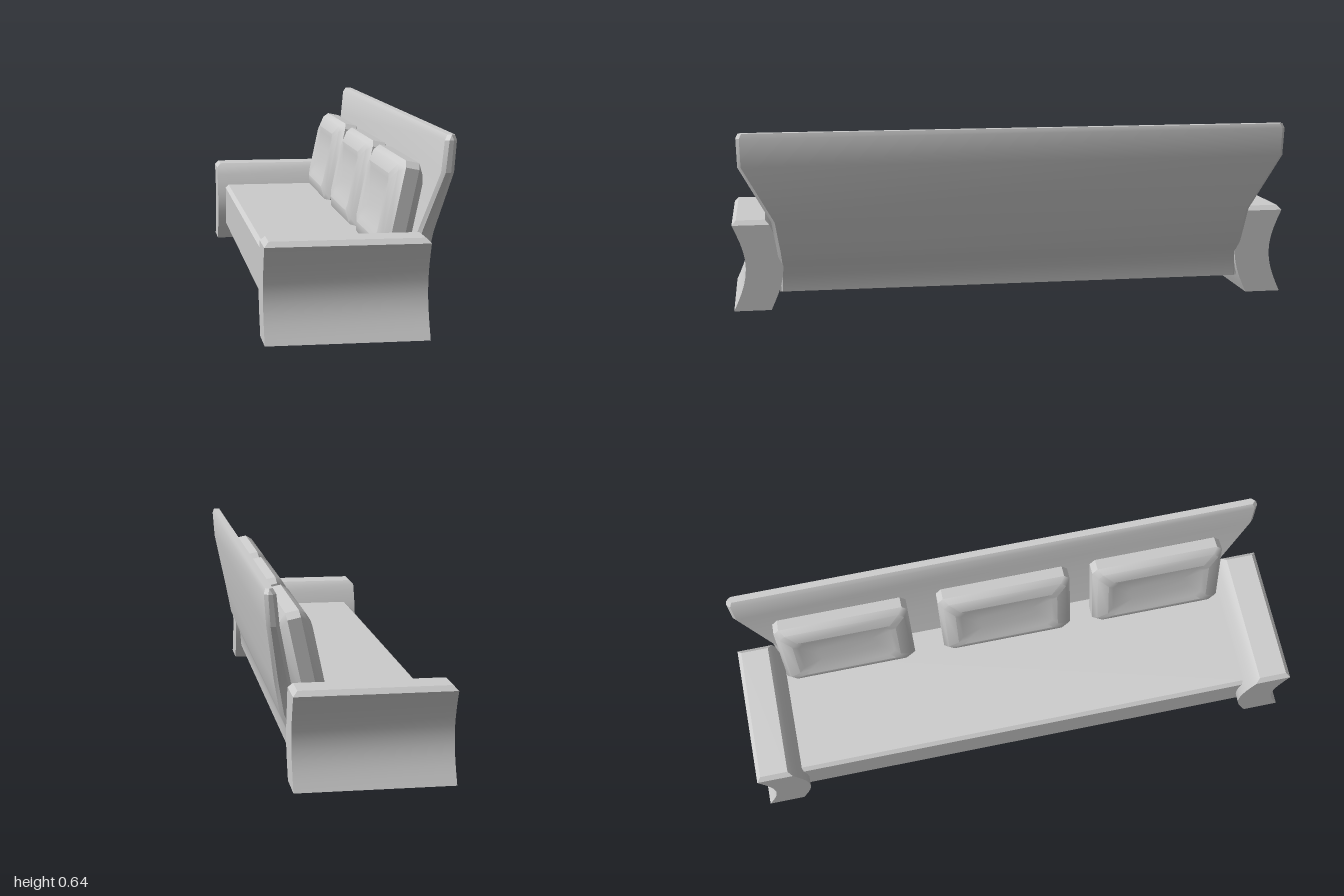
import * as THREE from 'three';
import { toCreasedNormals } from 'three/addons/utils/BufferGeometryUtils.js';

// Skin stacked rings (counter-clockwise seen from the end of the stack) and cap both ends
function loft(rings, crease = 0.45) {
  const n = rings[0].length, idx = [];
  for (let r = 0; r < rings.length - 1; r++) {
    for (let i = 0; i < n; i++) {
      const j = (i + 1) % n, a = r * n, b = a + n;
      idx.push(a + i, a + j, b + j, a + i, b + j, b + i);
    }
  }
  const top = (rings.length - 1) * n;
  for (let i = 1; i < n - 1; i++) {
    idx.push(0, i + 1, i, top, top + i, top + i + 1);
  }
  const g = new THREE.BufferGeometry();
  g.setAttribute('position', new THREE.Float32BufferAttribute(rings.flat(2), 3));
  g.setIndex(idx);
  return toCreasedNormals(g.toNonIndexed(), crease);
}

// Horizontal rectangle at height y
const rect = (y, x0, x1, z0, z1) => [[x0, y, z1], [x1, y, z1], [x1, y, z0], [x0, y, z0]];

export function createModel() {
  const group = new THREE.Group();
  const fabric = new THREE.MeshStandardMaterial({ color: 0xcccccc });
  fabric.name = 'light grey fabric';
  const add = (name, geo) => {
    const m = new THREE.Mesh(geo, fabric);
    m.name = name;
    group.add(m);
    return m;
  };

  // Seat slab with slim bevels at the front
  add('seat', loft([
    rect(0.06, -0.258, 0.19, -0.84, 0.84),
    rect(0.07, -0.268, 0.19, -0.84, 0.84),
    rect(0.222, -0.268, 0.19, -0.84, 0.84),
    rect(0.235, -0.255, 0.19, -0.84, 0.84),
  ]));

  // Armrests: sides bow inwards, top is bevelled
  for (const s of [1, -1]) {
    const rings = [];
    const ring = (y, x0, x1, zi, zo) => rings.push(rect(y, x0, x1, Math.min(s * zi, s * zo), Math.max(s * zi, s * zo)));
    for (let i = 0; i <= 10; i++) {
      const y = 0.306 * i / 10, bow = 0.045 * Math.sin(Math.PI * i / 10);
      ring(y, -0.301, 0.217, 0.87 - bow, 1 - bow);
    }
    ring(0.322, -0.286, 0.202, 0.885, 0.985);
    add(s > 0 ? 'armrestPositiveZ' : 'armrestNegativeZ', loft(rings));
  }

  // Backrest: leans back and flares out above the arms; rows are y, front x, rear x, half length
  const c = 0.012;
  const rows = [
    [0.06, 0.15, 0.195, 0.84], [0.12, 0.15, 0.2, 0.84], [0.165, 0.165, 0.218, 0.84],
    [0.21, 0.178, 0.237, 0.845], [0.32, 0.205, 0.257, 0.863], [0.52, 0.252, 0.293, 0.972],
    [0.62, 0.262, 0.3, 0.975], [0.637, 0.272, 0.295, 0.967],
  ];
  add('backrest', loft(rows.map(([y, f, b, h]) => [
    [f, y, h - c], [f + c, y, h], [b - c, y, h], [b, y, h - c],
    [b, y, c - h], [b - c, y, -h], [f + c, y, -h], [f, y, c - h],
  ])));

  // Cushions: depth and inset steps from the rear panel to the dimpled front panel
  const steps = [[-0.052, 0.042], [-0.022, 0], [0.022, 0], [0.042, 0.017], [0.057, 0.055], [0.05, 0.075], [0.046, 0.13]];
  const W = 0.245, H = 0.327, k = 0.02;
  const cushionGeo = loft(steps.map(([d, i]) => {
    const w = W - i, lo = i, hi = H - i;
    return [
      [-d, lo, -w + k], [-d, lo, w - k], [-d, lo + k, w], [-d, hi - k, w],
      [-d, hi, w - k], [-d, hi, -w + k], [-d, hi - k, -w], [-d, lo + k, -w],
    ];
  }), 0.6);
  [-0.592, 0.01, 0.585].forEach((z, i) => {
    const m = add('cushion' + (i + 1), cushionGeo);
    m.position.set(0.127, 0.215, z);
    m.rotation.z = -0.21;
  });
  return group;
}
